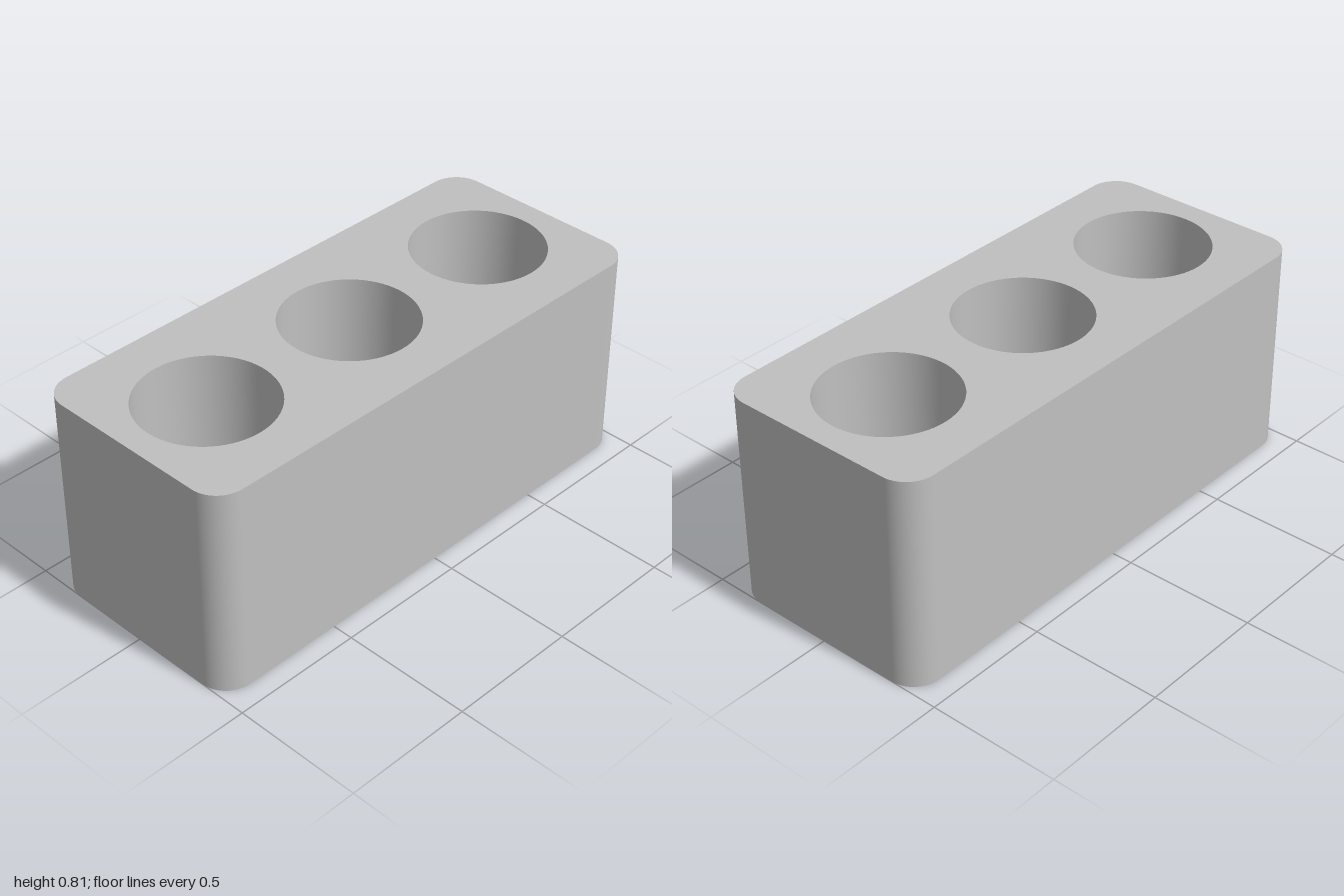
import * as THREE from 'three';

const WIDTH = 2, DEPTH = 0.84, HEIGHT = 0.81, CORNER = 0.11;
const HOLE_R = 0.25, HOLE_X = [-0.655, 0, 0.655], FLOOR_Y = 0.11;

// Rounded rectangle, counter-clockwise
function outlineShape() {
  const x = WIDTH / 2 - CORNER, y = DEPTH / 2 - CORNER, q = Math.PI / 2;
  const shape = new THREE.Shape();
  shape.absarc(x, y, CORNER, 0, q);
  shape.absarc(-x, y, CORNER, q, 2 * q);
  shape.absarc(-x, -y, CORNER, 2 * q, 3 * q);
  shape.absarc(x, -y, CORNER, 3 * q, 4 * q);
  shape.closePath();
  return shape;
}

// Closed smooth wall along a loop; it faces right of the walking direction
function wallGeometry(points, y0, y1) {
  const position = [], index = [], n = points.length;
  points.forEach((p, i) => {
    position.push(p.x, y0, -p.y, p.x, y1, -p.y);
    const a = 2 * i, b = 2 * ((i + 1) % n);
    index.push(a, b, b + 1, a, b + 1, a + 1);
  });
  const geometry = new THREE.BufferGeometry();
  geometry.setAttribute('position', new THREE.Float32BufferAttribute(position, 3));
  geometry.setIndex(index);
  geometry.computeVertexNormals();
  return geometry;
}

// Points of a closed curve without a repeated end point
function loop(path, divisions) {
  const points = path.getPoints(divisions);
  if (points[0].distanceTo(points[points.length - 1]) < 1e-5) points.pop();
  return points;
}

export function createModel() {
  const group = new THREE.Group();
  const grey = new THREE.MeshStandardMaterial({ color: 0xc0c0c0 });
  grey.name = 'light grey';
  const add = (name, geometry) => {
    const mesh = new THREE.Mesh(geometry, grey);
    mesh.name = name;
    group.add(mesh);
  };

  // Outer block: side wall and underside
  const outline = outlineShape();
  add('sideWall', wallGeometry(loop(outline, 16), 0, HEIGHT));
  add('underside', new THREE.ShapeGeometry(outline, 16).rotateX(Math.PI / 2));

  // Three round wells, each with a wall and a floor
  const top = outlineShape();
  for (const x of HOLE_X) {
    const rim = new THREE.Path().absarc(x, 0, HOLE_R, 0, Math.PI * 2, true);
    const points = loop(rim, 32);
    if (THREE.ShapeUtils.area(points) > 0) points.reverse();
    top.holes.push(new THREE.Path(points));
    add('wellWall', wallGeometry(points, FLOOR_Y, HEIGHT));
    const floor = new THREE.ShapeGeometry(new THREE.Shape(points));
    add('wellFloor', floor.rotateX(-Math.PI / 2).translate(0, FLOOR_Y, 0));
  }

  // Top face with the well openings
  add('topFace', new THREE.ShapeGeometry(top, 16).rotateX(-Math.PI / 2).translate(0, HEIGHT, 0));
  return group;
}
